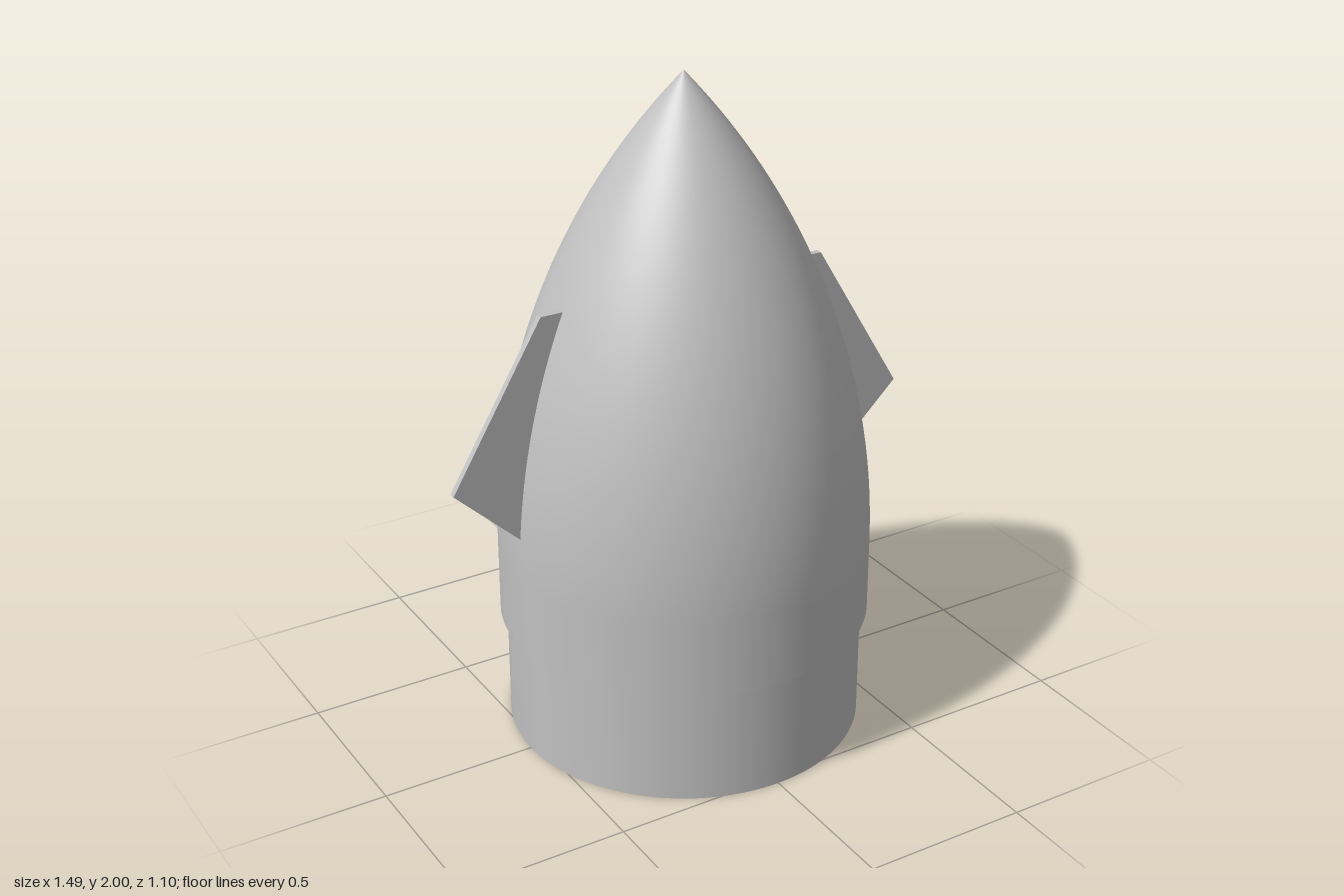
import * as THREE from 'three';
import { mergeGeometries } from 'three/addons/utils/BufferGeometryUtils.js';

const R = 0.55, BASE = 0.355, TANGENT = 0.58, TOP = 2;
const L = TOP - TANGENT;
const RHO = (R * R + L * L) / (2 * R); // radius of the ogive arc

// Shell radius at height y
function ogive(y) {
  const d = Math.max(0, y - TANGENT);
  return Math.max(0, Math.sqrt(RHO * RHO - d * d) - (RHO - R));
}

// Revolve each smooth run separately so that edges between runs stay sharp
function revolve(runs, segments = 96) {
  return mergeGeometries(runs.map((run) =>
    new THREE.LatheGeometry(run.map(([r, y]) => new THREE.Vector2(r, y)), segments)));
}

// A straight hollow tube with flat ends
function tube(outer, inner, y0, y1, segments) {
  return revolve([
    [[inner, y0], [outer, y0]],
    [[outer, y0], [outer, y1]],
    [[outer, y1], [inner, y1]],
    [[inner, y1], [inner, y0]],
  ], segments);
}

export function createModel() {
  const model = new THREE.Group();
  model.name = 'noseCone';
  const grey = new THREE.MeshStandardMaterial({ color: 0xc0c0c0 });
  grey.name = 'plainGrey';

  function add(name, geometry) {
    const mesh = new THREE.Mesh(geometry, grey);
    mesh.name = name;
    model.add(mesh);
    return mesh;
  }

  // Hollow pointed shell
  const wall = 0.025, steps = 48;
  const outside = [[R, BASE]], inside = [];
  for (let i = 0; i <= steps; i++) {
    const y = TANGENT + (L * i) / steps;
    outside.push([ogive(y), y]);
    const yi = TANGENT + ((L - 0.04) * i) / steps;
    inside.unshift([i === steps ? 0 : Math.max(0, ogive(yi) - wall), yi]);
  }
  inside.push([R - wall, BASE]);
  add('shell', revolve([outside, inside, [[R - wall, BASE], [R, BASE]]]));

  // Shoulder sleeve that plugs into the body below
  add('shoulder', tube(0.53, 0.505, 0, 0.39, 96));

  // Central mounting tube
  add('centreTube', tube(0.055, 0.015, 0, 1.8, 32));

  // Two side fins, inner edge following the shell
  const shape = new THREE.Shape();
  shape.moveTo(ogive(0.715) - 0.012, 0.715);
  shape.lineTo(ogive(0.715), 0.715);
  shape.lineTo(0.745, 0.905);
  shape.lineTo(0.46, 1.38);
  for (let i = 0; i < 12; i++) {
    const y = 1.38 - (0.665 * i) / 12;
    shape.lineTo(ogive(y) - 0.012, y);
  }
  shape.closePath();
  const finGeometry = new THREE.ExtrudeGeometry(shape, { depth: 0.02, bevelEnabled: false });
  finGeometry.translate(0, 0, -0.01);
  add('leftFin', finGeometry);
  add('rightFin', finGeometry).rotation.y = Math.PI;

  return model;
}
